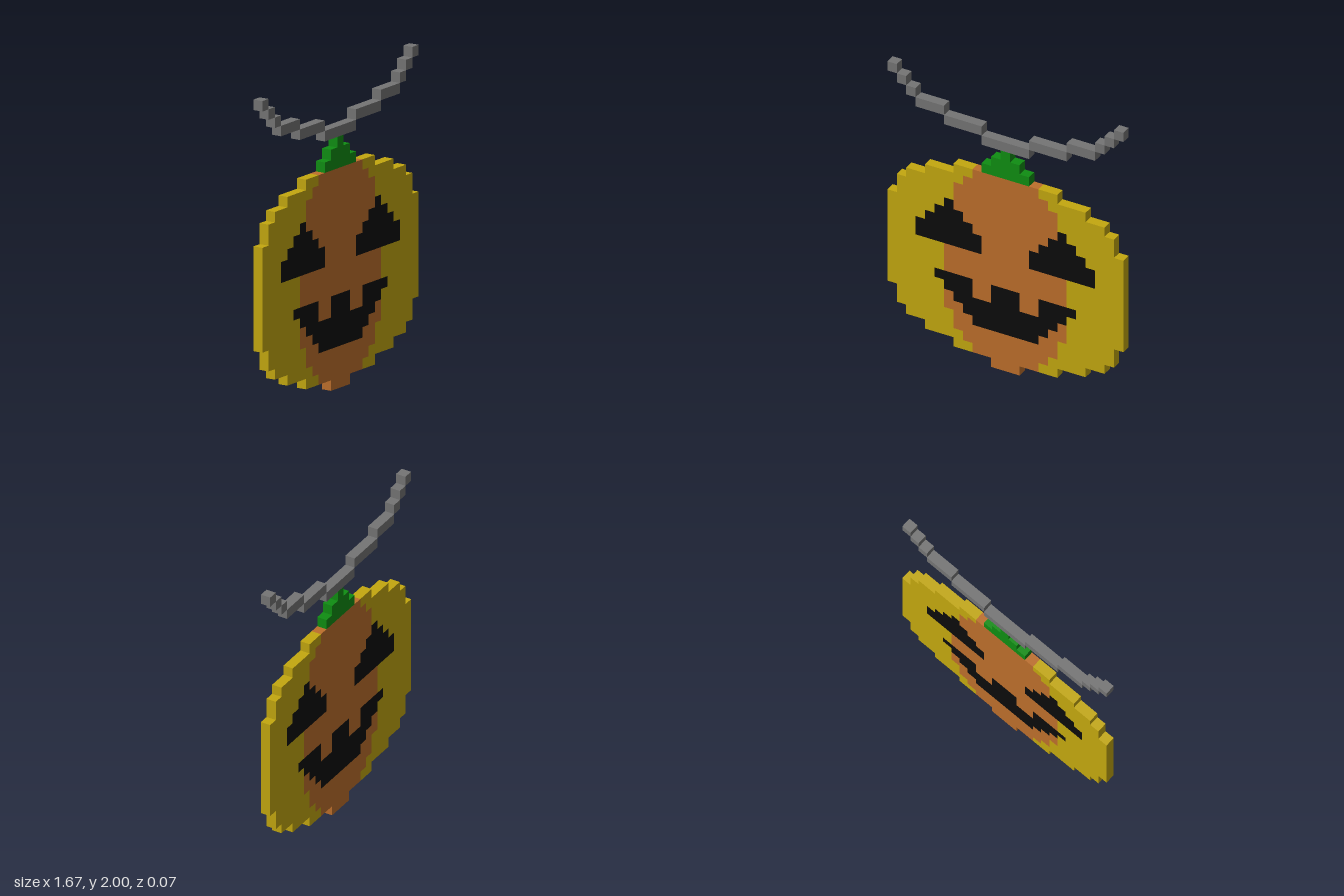
import * as THREE from 'three';

const U = 1 / 15; // one pixel of the design; the model is one pixel thick

const paint = (color) => new THREE.MeshStandardMaterial({ color });
const yellow = paint(0xc4a80f);
const orange = paint(0xbd6f2b);
const black = paint(0x0b0b0b);
const green = paint(0x0f8e12);
const grey = paint(0x757575);

// Stepped outline: start x, y, then alternately a new x and a new y
function steps([x, y, ...moves]) {
  const points = [[x, y]];
  moves.forEach((v, i) => {
    if (i % 2 === 0) x = v; else y = v;
    points.push([x, y]);
  });
  return points;
}

function slab(name, points, material) {
  const shape = new THREE.Shape(points.map(([x, y]) => new THREE.Vector2(x * U, y * U)));
  const geometry = new THREE.ExtrudeGeometry(shape, { depth: U, bevelEnabled: false });
  geometry.translate(0, 0, -U / 2);
  const mesh = new THREE.Mesh(geometry, material);
  mesh.name = name;
  return mesh;
}

const flip = (points) => points.map(([x, y]) => [-x, y]);

// Half outline from the centre line, closed by its mirror image
function symmetric(name, moves, material) {
  const half = steps(moves);
  const other = flip(half.filter(([x]) => x !== 0)).reverse();
  return slab(name, [...half, ...other], material);
}

// The same outline on the left (+x) and right (-x)
function pair(name, moves, material) {
  const points = steps(moves);
  return [slab('left' + name, points, material), slab('right' + name, flip(points), material)];
}

export function createModel() {
  const model = new THREE.Group();
  model.name = 'pumpkinPendant';

  // Pumpkin: cheeks, middle and chin fit around the eyes and mouth
  const pumpkin = new THREE.Group();
  pumpkin.name = 'pumpkin';
  pumpkin.add(
    ...pair('Cheek', [
      3.5, 1, 5.5, 2, 8.5, 3, 10.5, 4, 11.5, 6, 12.5, 16, 11.5, 18, 10.5, 19, 8.5, 20, 5.5, 21,
      3.5, 20, 4.5, 19, 5.5, 17, 6.5, 16, 7.5, 15, 8.5, 14, 9.5, 12,
      6.5, 9, 7.5, 8, 6.5, 5, 5.5, 3, 4.5, 2, 3.5,
    ], yellow),
    symmetric('foreheadAndNose', [
      0, 9, 1.5, 7, 3.5, 9, 6.5, 12, 2.5, 14, 3.5, 15, 4.5, 16, 5.5, 19, 4.5, 20, 3.5, 21, 0,
    ], orange),
    symmetric('chin', [
      0, 0, 1.5, 1, 3.5, 2, 4.5, 3, 5.5, 5, 6.5, 7, 5.5, 6, 4.5, 5, 3.5, 4, 0,
    ], orange),
    ...pair('Eye', [
      2.5, 12, 9.5, 14, 8.5, 15, 7.5, 16, 6.5, 17, 5.5, 16, 4.5, 15, 3.5, 14, 2.5,
    ], black),
    symmetric('mouth', [
      0, 4, 3.5, 5, 4.5, 6, 5.5, 7, 6.5, 8, 7.5, 9, 3.5, 7, 1.5, 9, 0,
    ], black),
    symmetric('stem', [0, 21, 2.5, 22, 1.5, 23, 0.5, 24, 0], green),
  );

  // Chain: each link is one row higher and further out
  const chain = new THREE.Group();
  chain.name = 'chain';
  const link = (name, x0, x1, row) => {
    const mesh = new THREE.Mesh(new THREE.BoxGeometry((x1 - x0) * U, U, U), grey);
    mesh.position.set((x0 + x1) / 2 * U, (row + 0.5) * U, 0);
    mesh.name = name;
    chain.add(mesh);
  };
  link('middleLink', -2.5, 2.5, 24);
  const ends = [2.5, 6.5, 9.5, 10.5, 11.5, 12.5];
  for (let i = 0; i < ends.length - 1; i++) {
    link('leftLink' + (i + 1), ends[i], ends[i + 1], 25 + i);
    link('rightLink' + (i + 1), -ends[i + 1], -ends[i], 25 + i);
  }

  model.add(pumpkin, chain);
  return model;
}
